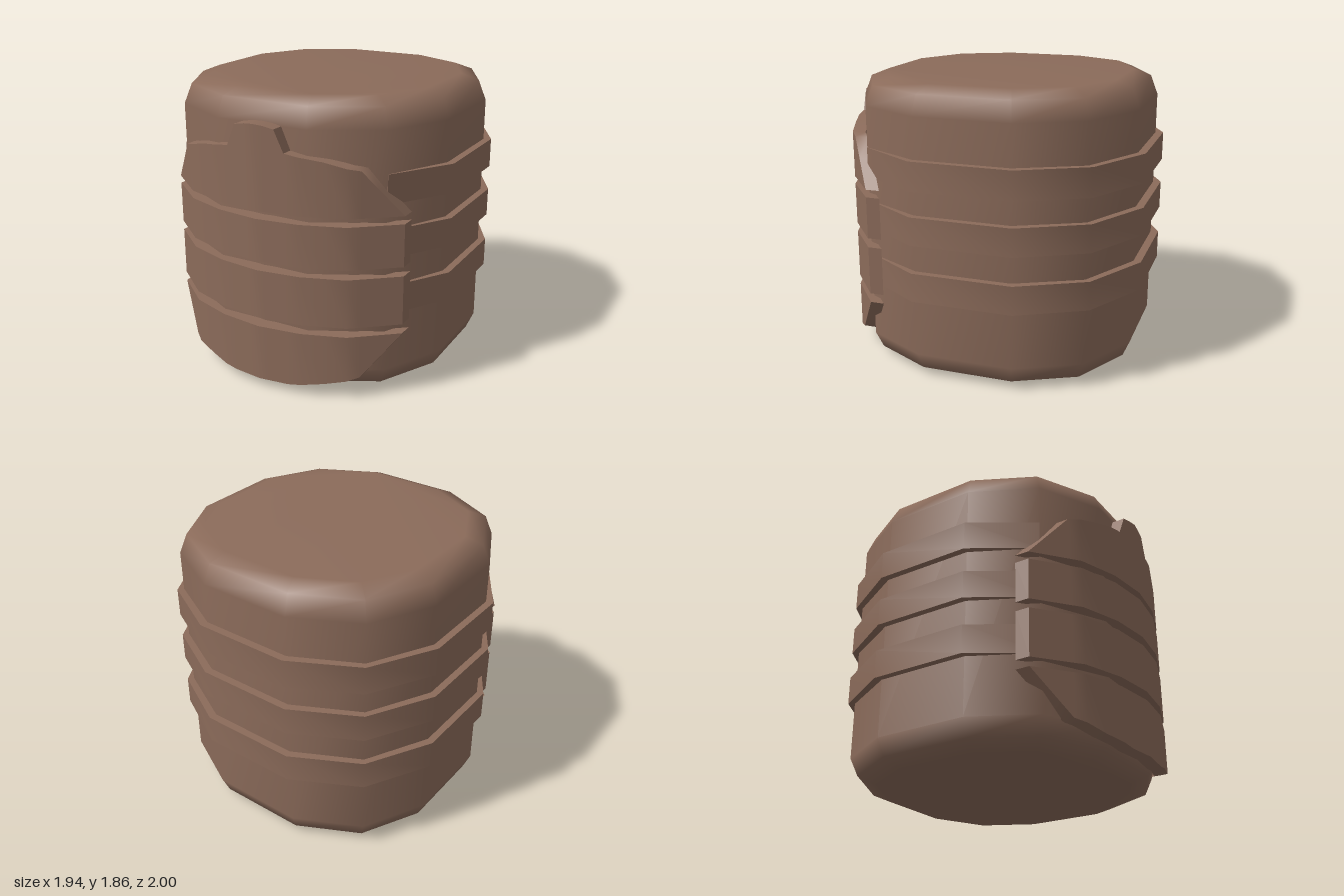
import * as THREE from 'three';
import { toCreasedNormals } from 'three/addons/utils/BufferGeometryUtils.js';

const brown = new THREE.MeshStandardMaterial({ color: 0x8b6b5a });
brown.name = 'brown';

// Skins a row of equal-sized point rings and closes both ends
function loft(sections) {
  const n = sections[0].length, last = (sections.length - 1) * n, index = [];
  for (let s = 0; s < sections.length - 1; s++) {
    for (let i = 0; i < n; i++) {
      const a = s * n + i, b = s * n + (i + 1) % n;
      index.push(a, b, b + n, a, b + n, a + n);
    }
  }
  for (let i = 1; i < n - 1; i++) {
    index.push(0, i + 1, i, last, last + i, last + i + 1);
  }
  const geometry = new THREE.BufferGeometry();
  geometry.setAttribute('position', new THREE.Float32BufferAttribute(sections.flat(2), 3));
  geometry.setIndex(index);
  geometry.computeVertexNormals();
  return geometry;
}

// Piecewise linear lookup in a list of [input, output] pairs
function lookup(table, x) {
  for (let i = 1; i < table.length; i++) {
    const [x0, y0] = table[i - 1], [x1, y1] = table[i];
    if (x <= x1) return y0 + (y1 - y0) * (x - x0) / (x1 - x0);
  }
  return table[table.length - 1][1];
}

// Takes the right half of an outline, front to back, and adds its mirror
const mirrored = half => [...half, ...half.map(([x, z]) => [-x, z]).reverse()];

const CENTRE_Z = -0.03;
const bodyOutline = mirrored([[0.31, 0.895], [0.72, 0.68], [0.925, 0.28], [0.925, -0.34], [0.72, -0.74], [0.31, -0.95]]);
const bandOutline = mirrored([[0.725, 0.68], [0.97, 0.29], [0.97, -0.36], [0.745, -0.775], [0.32, -1.0]]);

// Front plate: curve seen from above, upper and lower edges seen from the front
const plateFront = [[0, 0.995], [0.28, 0.96], [0.55, 0.867], [0.818, 0.65]];
const plateTop = [[0, 1.705], [0.06, 1.7], [0.135, 1.685], [0.195, 1.55], [0.42, 1.515], [0.615, 1.465], [0.818, 1.18]];
const plateBottom = [[0, 0.06], [0.2, 0.06], [0.42, 0.095], [0.61, 0.14], [0.818, 0.425]];
const halfColumns = [0.06, 0.135, 0.195, 0.28, 0.42, 0.55, 0.615, 0.7, 0.818];
const columns = [...halfColumns.map(x => -x).reverse(), 0, ...halfColumns];

function plateGeometry(low, high) {
  return toCreasedNormals(loft(columns.map(x => {
    const a = Math.abs(x), outer = lookup(plateFront, a), inner = outer - 0.092;
    const y0 = low(a), y1 = high(a), px = x + 0.007;
    return [[px, y0, outer], [px, y0, inner], [px, y1, inner], [px, y1, outer]];
  })), 0.75);
}

export function createModel() {
  const group = new THREE.Group();
  group.name = 'segmentedDrum';
  const add = (name, geometry) => {
    const mesh = new THREE.Mesh(geometry, brown);
    mesh.name = name;
    group.add(mesh);
  };

  // Rounded twelve-sided body: [scale, height]
  const profile = [[0.83, 0], [0.95, 0.05], [1, 0.16], [1, 1.685], [0.95, 1.81], [0.83, 1.855]];
  add('body', loft(profile.map(([s, y]) =>
    bodyOutline.map(([x, z]) => [x * s, y, CENTRE_Z + (z - CENTRE_Z) * s]))));

  // Three raised bands around the sides and back, tapering out at the front
  [[0.535, 0.72], [0.9, 1.08], [1.24, 1.425]].forEach(([y0, y1], i) => {
    const innerOutline = bodyOutline.slice(1, -1);
    const sections = bandOutline.map(([x, z], k) => {
      const ix = innerOutline[k][0] * 0.98, iz = CENTRE_Z + (innerOutline[k][1] - CENTRE_Z) * 0.98;
      return [[x, y0, z], [ix, y0, iz], [ix, y1, iz], [x, y1, z]];
    });
    add('band' + (i + 1), toCreasedNormals(loft(sections), 0.75));
  });

  // Curved front plate in four segments with narrow gaps
  add('lowerFrontPlate', plateGeometry(a => lookup(plateBottom, a), () => 0.425));
  add('lowerMiddleFrontPlate', plateGeometry(() => 0.485, () => 0.8));
  add('upperMiddleFrontPlate', plateGeometry(() => 0.86, () => 1.13));
  add('upperFrontPlate', plateGeometry(() => 1.18, a => lookup(plateTop, a)));

  return group;
}
